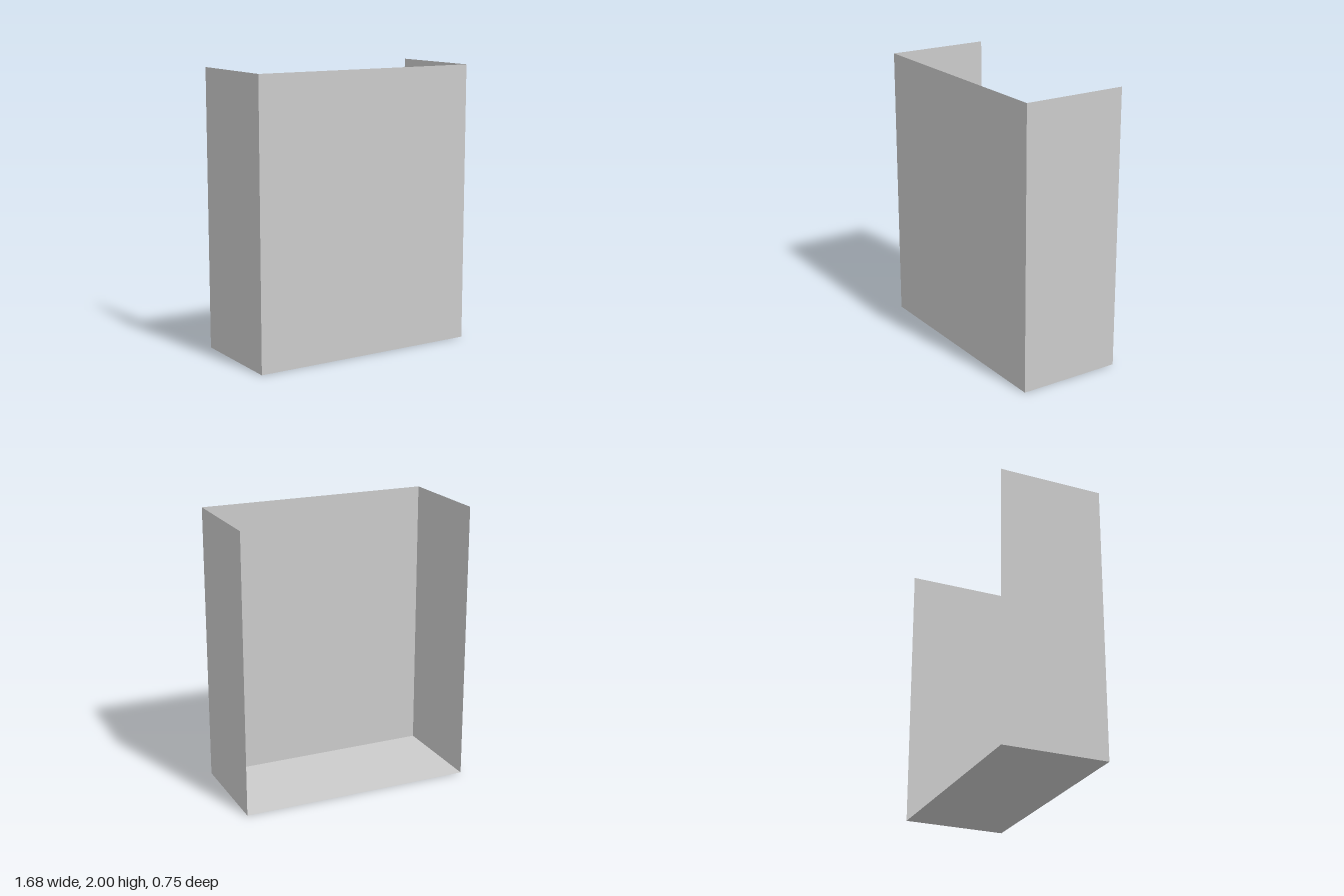
import * as THREE from 'three';

const W = 1.68, H = 2, D = 0.75;

export function createModel() {
  const group = new THREE.Group();
  group.name = 'openBox';
  const material = new THREE.MeshStandardMaterial({
    color: 0xcccccc, flatShading: true, side: THREE.DoubleSide,
  });

  // Thin flat sheet, placed and turned
  const addPanel = (name, width, height, position, rotation = [0, 0, 0]) => {
    const panel = new THREE.Mesh(new THREE.PlaneGeometry(width, height), material);
    panel.name = name;
    panel.position.set(...position);
    panel.rotation.set(...rotation);
    group.add(panel);
  };

  // Front wall and floor; the top and back stay open
  addPanel('frontPanel', W, H, [0, H / 2, D / 2]);
  addPanel('bottomPanel', W, D, [0, 0, 0], [Math.PI / 2, 0, 0]);

  // Mirrored side walls
  for (const [name, s] of [['leftPanel', 1], ['rightPanel', -1]]) {
    addPanel(name, D, H, [s * W / 2, H / 2, 0], [0, s * Math.PI / 2, 0]);
  }
  return group;
}
